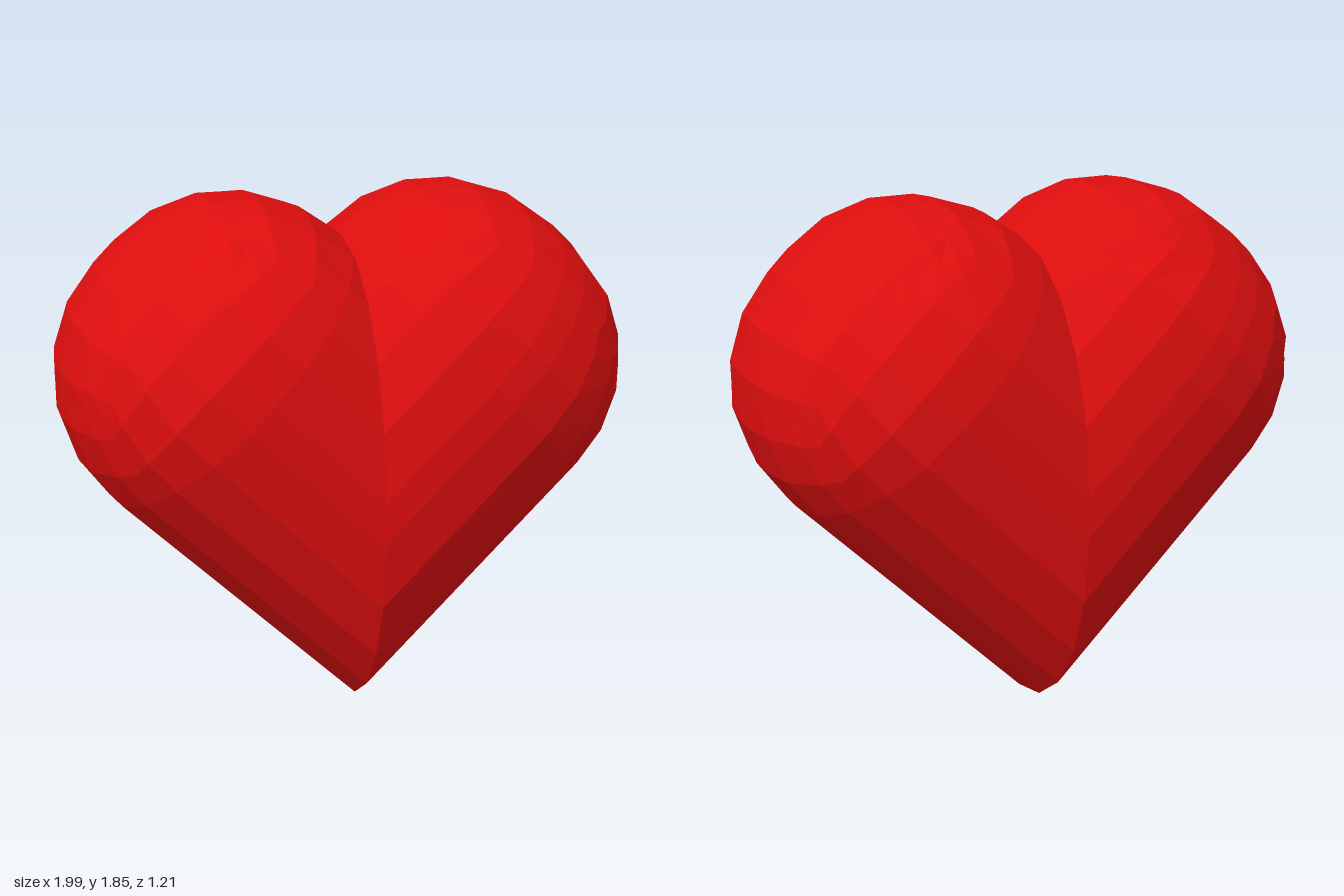
import * as THREE from 'three';

const BEVEL = 0.55;      // radius of the rounded edges
const FLAT = 0.053;      // half width of the flat strips between them
const CX = 0.379, CY = 1.233; // centre of a lobe's dome

// One lobe: a bevelled cube, stretched down its 45 degree axis to the plane x = 0
function lobeGeometry() {
  const geo = new THREE.BoxGeometry(7, 7, 7, 7, 7, 7);
  const pos = geo.attributes.position;
  const slope = [0, Math.tan(Math.PI / 10), Math.tan(Math.PI / 5), 1];
  const seam = Math.cos(Math.PI / 20);
  const bend = c => Math.sign(c) * slope[Math.round(Math.abs(c) - 0.5)];
  const rear = [];
  const dir = new THREE.Vector3();

  for (let i = 0; i < pos.count; i++) {
    const c = [pos.getX(i), pos.getY(i), pos.getZ(i)];
    // rounded cube with five 18 degree steps per bevel
    dir.set(...c.map(bend)).normalize();
    const onSeam = c.filter(v => Math.abs(v) > 3).length > 1;
    dir.multiplyScalar(BEVEL * (onSeam ? seam : 1));
    const u = dir.x + Math.sign(c[0]) * FLAT;
    let t = dir.y + Math.sign(c[1]) * FLAT;
    const z = dir.z + Math.sign(c[2]) * FLAT;
    // the lower half runs straight to the mirror plane
    rear[i] = c[1] < 0;
    const limit = -CX * Math.SQRT2 - u;
    t = rear[i] ? limit : Math.max(t, limit);
    pos.setXYZ(i, CX + (t + u) * Math.SQRT1_2, CY + (t - u) * Math.SQRT1_2, z);
  }

  // leave out the hidden faces on the mirror plane
  const src = geo.index.array, kept = [];
  for (let i = 0; i < src.length; i += 3) {
    const tri = [src[i], src[i + 1], src[i + 2]];
    if (!tri.every(v => rear[v])) kept.push(...tri);
  }
  geo.setIndex(kept);
  geo.clearGroups();
  const flat = geo.toNonIndexed();
  flat.computeVertexNormals();
  return flat;
}

export function createModel() {
  const red = new THREE.MeshStandardMaterial({ color: 0xdd0e0e, flatShading: true });
  red.name = 'red';

  const heart = new THREE.Group();
  heart.name = 'heart';
  const geo = lobeGeometry();

  const leftLobe = new THREE.Mesh(geo, red);
  leftLobe.name = 'leftLobe';

  // the lobe is the same front and back, so a half turn mirrors it
  const rightLobe = new THREE.Mesh(geo, red);
  rightLobe.name = 'rightLobe';
  rightLobe.rotation.y = Math.PI;

  heart.add(leftLobe, rightLobe);
  return heart;
}
